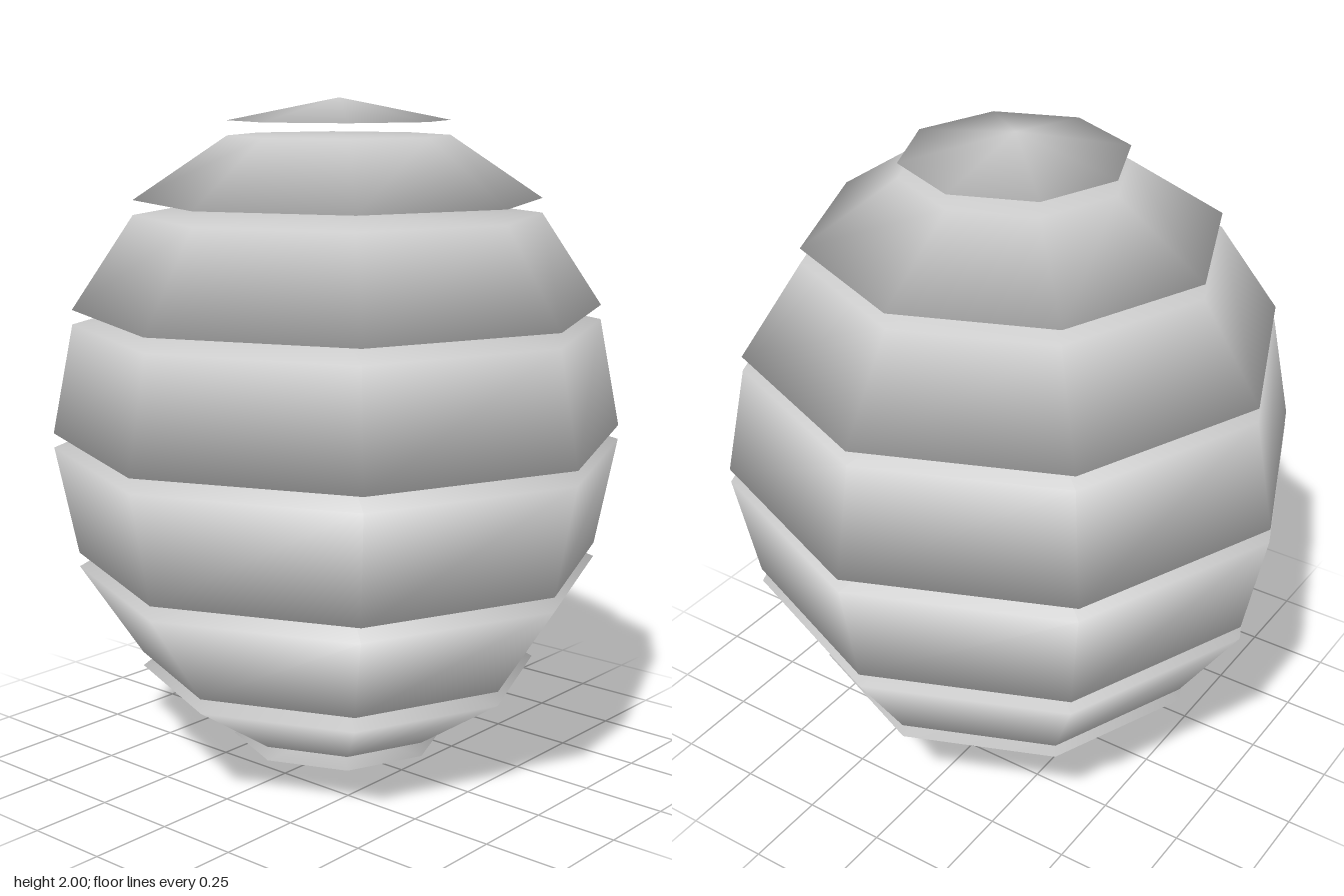
import * as THREE from 'three';

const RADIUS = 0.85, SIDES = 8, BANDS = 8;
const GAP = (2 - 2 * RADIUS) / (BANDS - 1);

// Closed eight-sided slice whose rims blend the wall and lid normals
function sliceGeometry(rTop, rBottom, height) {
  const geometry = new THREE.CylinderGeometry(rTop, rBottom, height, SIDES);
  const { position, normal } = geometry.attributes;
  const apothem = Math.cos(Math.PI / SIDES);
  const wall = new THREE.Vector2(height, (rBottom - rTop) * apothem).normalize();
  const n = new THREE.Vector3();
  for (let i = 0; i < position.count; i++) {
    const x = position.getX(i), z = position.getZ(i);
    const lid = Math.sign(position.getY(i));
    const r = Math.hypot(x, z);
    if (r < 1e-4) {
      n.set(0, lid, 0);
    } else {
      const out = wall.x * apothem;
      n.set((x / r) * out, wall.y + lid, (z / r) * out).normalize();
    }
    normal.setXYZ(i, n.x, n.y, n.z);
  }
  return geometry;
}

export function createModel() {
  const group = new THREE.Group();
  group.name = 'slicedSphere';
  const material = new THREE.MeshStandardMaterial({ color: 0xcccccc });

  // Latitude slices from top to bottom, spread apart by equal gaps
  let top = 2;
  for (let i = 0; i < BANDS; i++) {
    const a = (i * Math.PI) / BANDS, b = ((i + 1) * Math.PI) / BANDS;
    const height = RADIUS * (Math.cos(a) - Math.cos(b));
    const rTop = i === 0 ? 0 : RADIUS * Math.sin(a);
    const rBottom = i === BANDS - 1 ? 0 : RADIUS * Math.sin(b);
    const slice = new THREE.Mesh(sliceGeometry(rTop, rBottom, height), material);
    slice.name = i === 0 ? 'topCap' : i === BANDS - 1 ? 'bottomCap' : `band${i}`;
    slice.position.y = top - height / 2;
    group.add(slice);
    top -= height + GAP;
  }
  return group;
}
